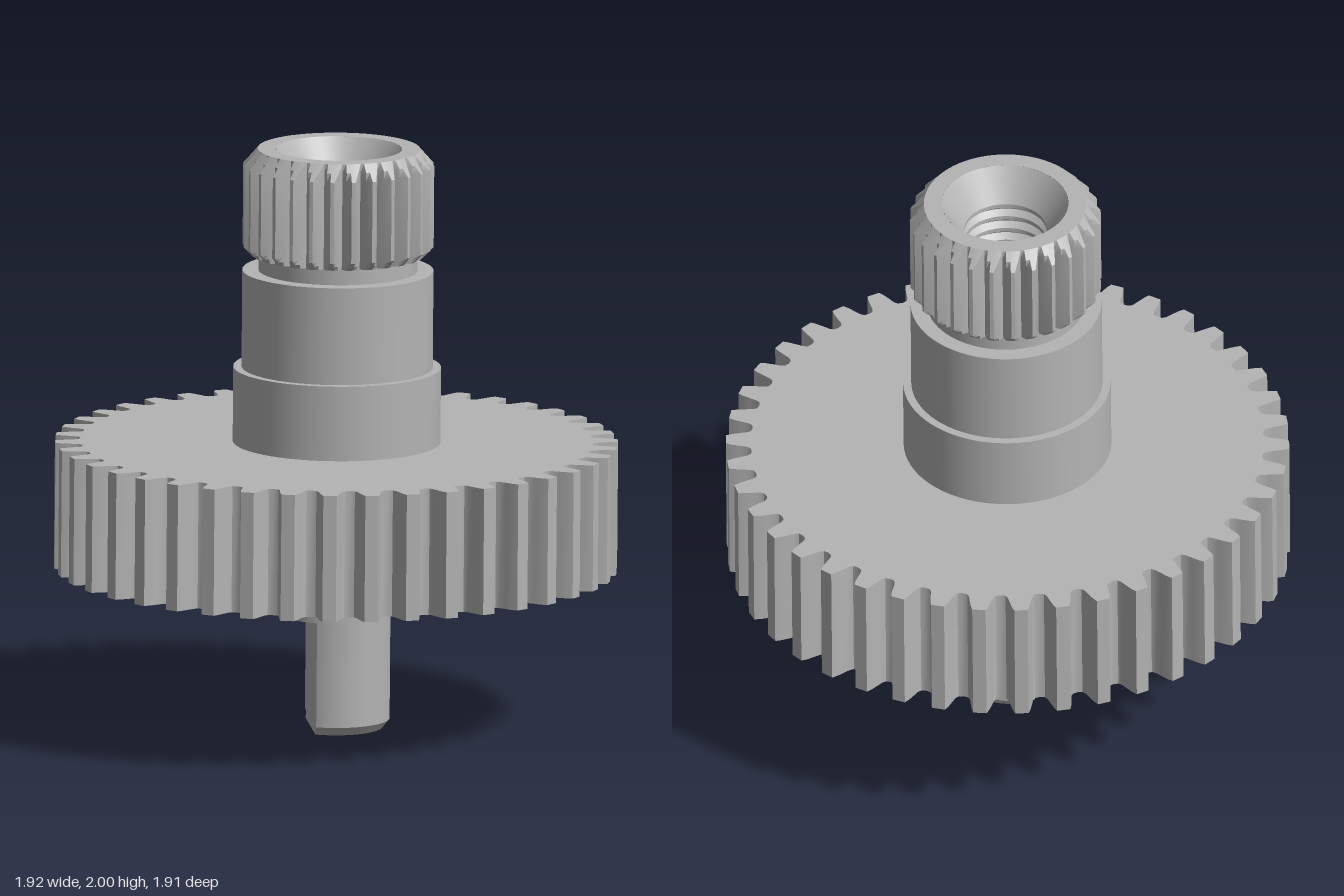
import * as THREE from 'three';
import { mergeGeometries, toCreasedNormals } from 'three/addons/utils/BufferGeometryUtils.js';

// Revolve a profile of [radius, y]; every segment is separate so edges stay crisp.
function turned(profile) {
  const parts = [];
  for (let i = 0; i < profile.length - 1; i++) {
    const pts = [profile[i], profile[i + 1]].map(([r, y]) => new THREE.Vector2(r, y));
    parts.push(new THREE.LatheGeometry(pts, 72));
  }
  return mergeGeometries(parts);
}

// Skin rings stacked along y. columns: [angle, radius]; levels: [y, largest radius].
function polarLoft(columns, levels) {
  const pos = [], index = [], n = columns.length;
  for (const [y, cap] of levels) {
    for (const [a, radius] of columns) {
      const r = Math.min(radius, cap);
      pos.push(r * Math.sin(a), y, r * Math.cos(a));
    }
  }
  for (let i = 0; i < levels.length - 1; i++) {
    for (let j = 0; j < n; j++) {
      const k = (j + 1) % n;
      const a = i * n + j, b = i * n + k, c = a + n, d = b + n;
      index.push(a, b, d, a, d, c);
    }
  }
  const g = new THREE.BufferGeometry();
  g.setAttribute('position', new THREE.Float32BufferAttribute(pos, 3));
  g.setIndex(index);
  return toCreasedNormals(g, 0.5);
}

// Repeat one tooth outline, [fraction of pitch, radius], around the circle.
function toothColumns(count, tooth, offset) {
  const pitch = (Math.PI * 2) / count, cols = [];
  for (let k = 0; k < count; k++) {
    for (const [u, r] of tooth) cols.push([offset + pitch * (k + u), r]);
  }
  return cols;
}

export function createModel() {
  const steel = new THREE.MeshStandardMaterial({ color: 0xb4b4b4 });
  steel.name = 'steel grey';

  const model = new THREE.Group();
  model.name = 'gearShaft';
  const add = (name, geometry) => {
    const mesh = new THREE.Mesh(geometry, steel);
    mesh.name = name;
    model.add(mesh);
  };

  // Large gear with a recess underneath
  const gearTooth = [
    [-0.16, 0.957], [0.16, 0.957], [0.215, 0.937], [0.265, 0.91], [0.31, 0.886],
    [0.37, 0.874], [0.5, 0.87], [0.63, 0.874], [0.69, 0.886], [0.735, 0.91], [0.785, 0.937],
  ];
  add('largeGear', polarLoft(toothColumns(42, gearTooth, 0.044), [
    [0.79, 0.3], [0.79, 0.752], [0.55, 0.752], [0.55, 1], [0.987, 1], [0.987, 0.33],
  ]));

  // Stepped hub and neck
  add('hub', turned([
    [0.15, 0.58], [0.328, 0.58], [0.328, 0.77], [0.353, 0.77], [0.353, 1.245],
    [0.325, 1.245], [0.325, 1.58], [0.27, 1.58], [0.27, 1.64],
  ]));

  // Splined head with chamfered ends
  const splineTooth = [[-0.09, 0.325], [0.09, 0.325], [0.3, 0.299], [0.5, 0.276], [0.7, 0.299]];
  add('splineHead', polarLoft(toothColumns(28, splineTooth, 0), [
    [1.635, 0.26], [1.635, 0.295], [1.65, 0.31], [1.665, 0.325],
    [1.945, 0.325], [1.973, 0.3], [2, 0.276], [2, 0.215],
  ]));

  // Countersunk, threaded bore
  const bore = [[0.215, 2], [0.14, 1.89]];
  for (let y = 1.89; y > 1.35; y -= 0.05) {
    bore.push([0.14, y - 0.015], [0.16, y - 0.0325], [0.14, y - 0.05]);
  }
  bore.push([0, bore[bore.length - 1][1]]);
  add('threadedBore', turned(bore));

  // Round part of the lower shaft, with the underside of the step
  const R = 0.188, FLAT = 0.081, flatAngle = -1.391;
  add('shaft', turned([[0, 0.39], [R, 0.39], [R, 0.6]]));

  // Shaft end with one flat side and a chamfered tip
  const corners = [R, 0.165].map((r) => Math.acos(FLAT / r));
  const angles = [...corners, ...corners.map((c) => -c)];
  for (let i = 0; i < 90; i++) angles.push(-Math.PI + (i * Math.PI) / 45);
  angles.sort((a, b) => a - b);
  const dColumns = angles.map((t) => {
    const c = Math.cos(t);
    return [t + flatAngle, c > 0 ? Math.min(R, FLAT / c) : R];
  });
  add('flattedShaftEnd', polarLoft(dColumns, [[0, 0.0001], [0, 0.165], [0.03, R], [0.39, R]]));

  // Slight lean of the whole part
  model.rotation.z = -0.008;
  model.position.x = -0.007;
  const root = new THREE.Group();
  root.name = 'model';
  root.add(model);
  return root;
}
